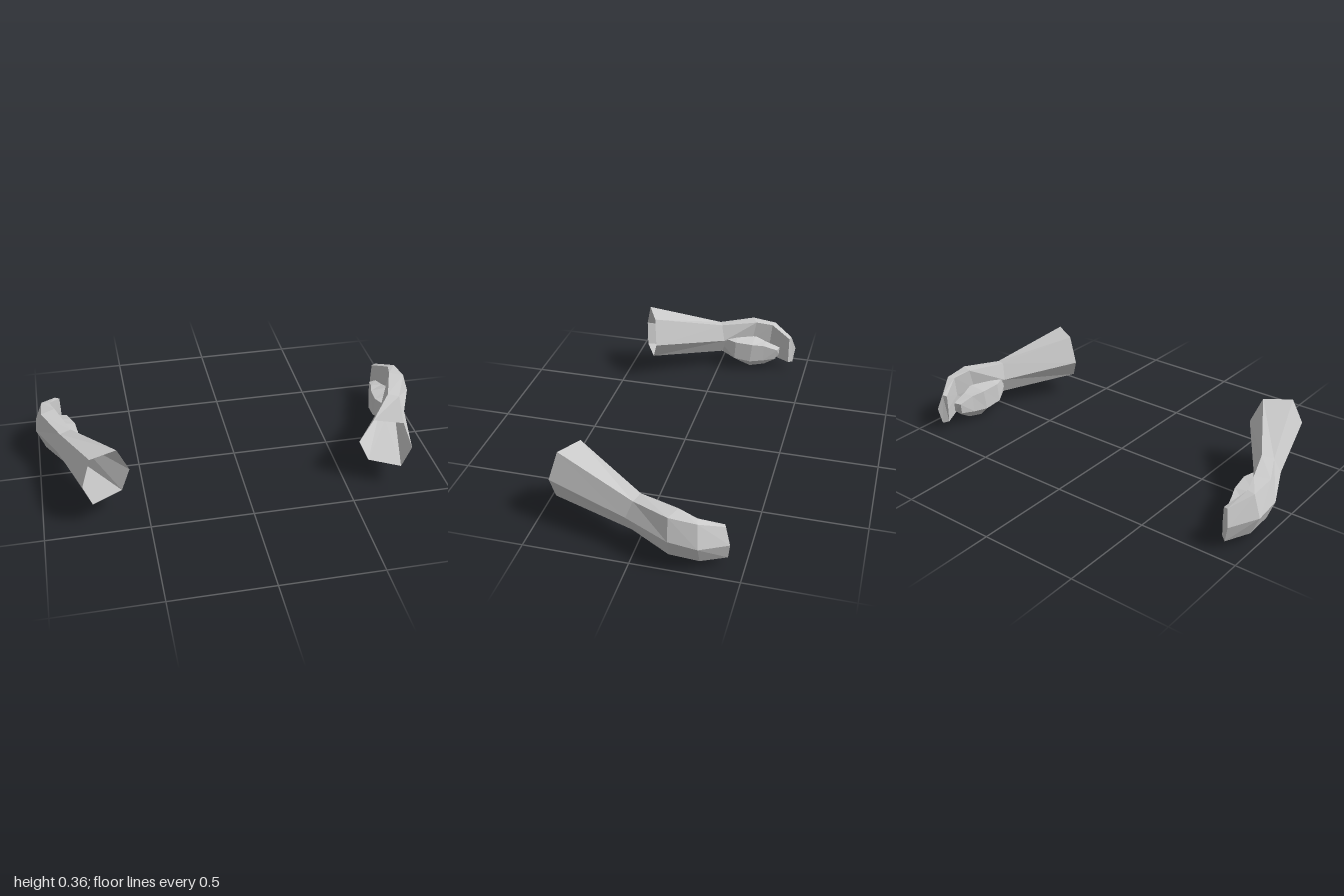
import * as THREE from 'three';

const material = new THREE.MeshStandardMaterial({ color: 0xcccccc, flatShading: true, side: THREE.DoubleSide });

// Skin a list of rings (counterclockwise seen from +z, running toward -z), capping the last one.
function loft(rings, side, capStart) {
  const n = rings[0].length;
  const pos = [];
  const tri = (a, b, c) => {
    for (const p of side > 0 ? [a, b, c] : [a, c, b]) pos.push(p[0] * side, p[1], p[2]);
  };
  for (let r = 0; r + 1 < rings.length; r++) {
    const a = rings[r], b = rings[r + 1];
    for (let i = 0; i < n; i++) {
      const j = (i + 1) % n;
      tri(a[i], b[i], a[j]);
      tri(a[j], b[i], b[j]);
    }
  }
  const end = rings[rings.length - 1];
  for (let i = 1; i + 1 < n; i++) {
    tri(end[0], end[i + 1], end[i]);
    if (capStart) tri(rings[0][0], rings[0][i], rings[0][i + 1]);
  }
  const g = new THREE.BufferGeometry();
  g.setAttribute('position', new THREE.Float32BufferAttribute(pos, 3));
  g.computeVertexNormals();
  return g;
}

// Forearm, wrist, knuckles, finger bend and fingertips:
// each ring is outer top, inner top, inner, inner bottom, outer bottom, outer.
const armRings = [
  [[0.755, 0.36, 0.4], [0.625, 0.35, 0.335], [0.57, 0.215, 0.315], [0.615, 0.12, 0.345], [0.76, 0.115, 0.42], [0.8, 0.232, 0.433]],
  [[0.88, 0.25, 0.01], [0.825, 0.258, -0.01], [0.8, 0.172, -0.03], [0.825, 0.09, -0.01], [0.875, 0.087, 0.02], [0.905, 0.172, 0.04]],
  [[0.965, 0.26, -0.17], [0.895, 0.265, -0.2], [0.89, 0.155, -0.18], [0.9, 0.06, -0.18], [0.96, 0.055, -0.17], [1.0, 0.157, -0.175]],
  [[0.96, 0.246, -0.3], [0.92, 0.247, -0.29], [0.92, 0.14, -0.28], [0.92, 0.05, -0.29], [0.96, 0.046, -0.31], [1.0, 0.14, -0.31]],
  [[0.89, 0.2, -0.408], [0.868, 0.196, -0.4], [0.866, 0.12, -0.4], [0.868, 0.045, -0.4], [0.895, 0.037, -0.422], [0.912, 0.12, -0.433]],
];

// Thumb: inner top, inner, bottom, outer bottom, outer top.
const thumbRings = [
  [[0.815, 0.18, -0.03], [0.81, 0.13, -0.03], [0.835, 0.087, -0.01], [0.875, 0.087, 0.005], [0.87, 0.18, -0.03]],
  [[0.79, 0.175, -0.1], [0.785, 0.075, -0.095], [0.85, 0.03, -0.1], [0.92, 0.065, -0.1], [0.9, 0.19, -0.1]],
  [[0.8, 0.165, -0.195], [0.793, 0.06, -0.185], [0.855, 0, -0.175], [0.925, 0.055, -0.17], [0.9, 0.175, -0.195]],
  [[0.822, 0.155, -0.26], [0.815, 0.065, -0.26], [0.86, 0.02, -0.26], [0.9, 0.05, -0.26], [0.885, 0.155, -0.26]],
  [[0.838, 0.13, -0.335], [0.838, 0.075, -0.33], [0.86, 0.055, -0.315], [0.88, 0.08, -0.34], [0.877, 0.13, -0.345]],
];

export function createModel() {
  const model = new THREE.Group();
  model.name = 'armPair';
  for (const [side, label] of [[1, 'left'], [-1, 'right']]) {
    const arm = new THREE.Group();
    arm.name = `${label}Arm`;
    // Sleeve-like forearm stays open at the elbow
    const forearm = new THREE.Mesh(loft(armRings, side, false), material);
    forearm.name = `${label}ForearmAndHand`;
    const thumb = new THREE.Mesh(loft(thumbRings, side, true), material);
    thumb.name = `${label}Thumb`;
    arm.add(forearm, thumb);
    model.add(arm);
  }
  return model;
}
